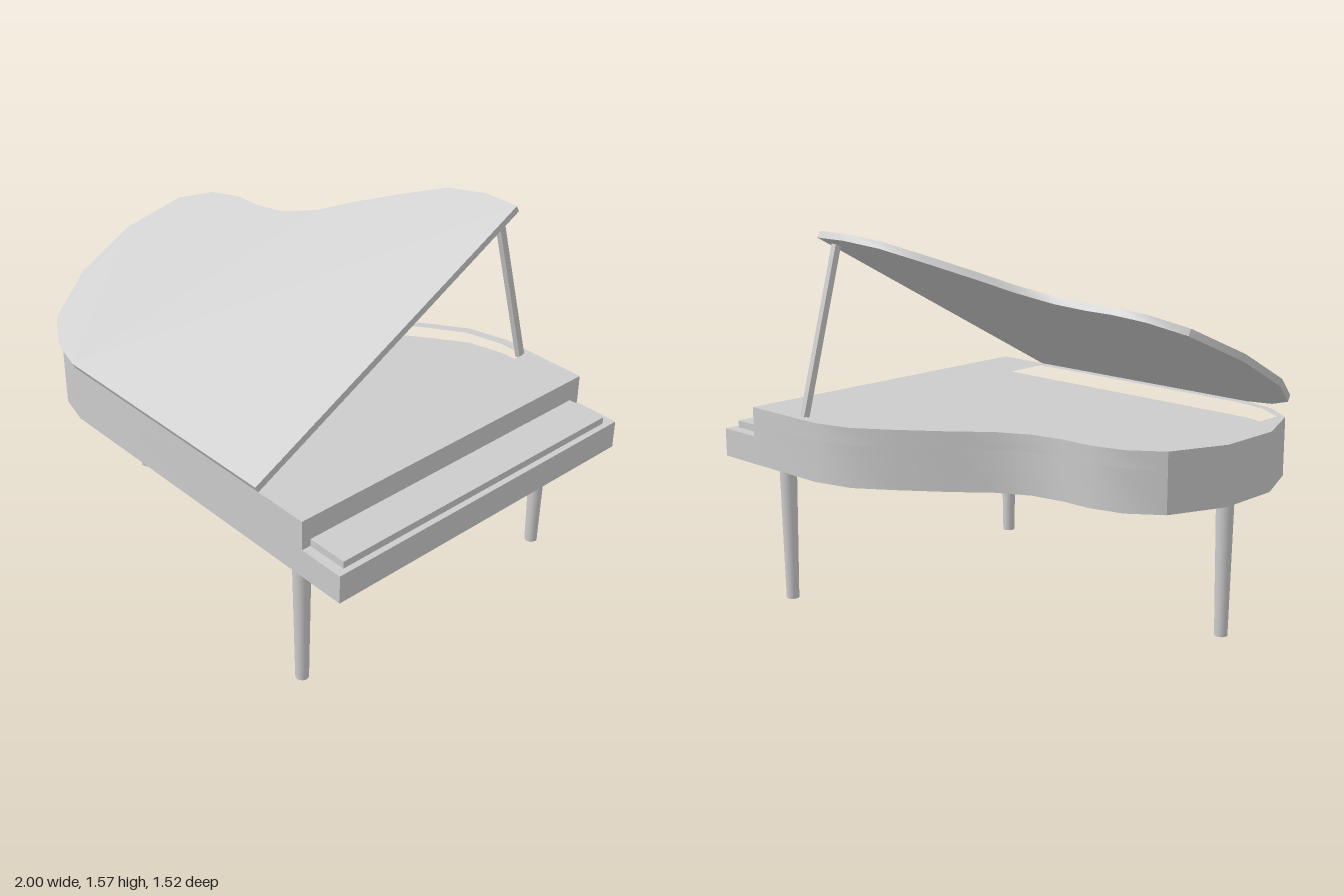
import * as THREE from 'three';
import { toCreasedNormals } from 'three/addons/utils/BufferGeometryUtils.js';

const material = new THREE.MeshStandardMaterial({ color: 0xcccccc });

// Curved side of the case as [x, z], from the spine round the tail to the bent side
const curve = [
  [-0.62, 0.745], [-0.77, 0.707], [-0.9, 0.616], [-1, 0.375], [-1, 0.092],
  [-0.9, -0.145], [-0.77, -0.24], [-0.63, -0.277], [-0.5, -0.28], [-0.36, -0.305],
  [-0.22, -0.38], [-0.1, -0.485], [0.08, -0.62], [0.23, -0.722], [0.4, -0.765],
];

// Inner edge of the rim, with a straight end at the tail
const cavity = [
  [0.53, 0.705], [-0.61, 0.705], [-0.76, 0.67], [-0.87, 0.6],
  [-0.87, -0.15], [-0.76, -0.215], [-0.63, -0.25], [-0.5, -0.253], [-0.35, -0.275],
  [-0.2, -0.35], [-0.08, -0.455], [0.09, -0.582], [0.24, -0.682], [0.4, -0.722], [0.53, -0.722],
];

const toPoints = (list) => list.map(([x, z]) => new THREE.Vector2(x, -z));

// Case outline cut off square at the given x
const outline = (xEnd) => new THREE.Shape(toPoints([[xEnd, 0.745], ...curve, [xEnd, -0.765]]));

// Lay a plan shape flat and raise it from y = 0 to the given height
function slab(shape, height) {
  const g = new THREE.ExtrudeGeometry(shape, { depth: height, bevelEnabled: false });
  g.rotateX(-Math.PI / 2);
  return toCreasedNormals(g, 0.45);
}

export function createModel() {
  const piano = new THREE.Group();
  piano.name = 'grandPiano';

  function add(name, geometry, x = 0, y = 0, z = 0) {
    const mesh = new THREE.Mesh(geometry, material);
    mesh.name = name;
    mesh.position.set(x, y, z);
    piano.add(mesh);
    return mesh;
  }

  // Case: solid lower body with a hollow rim on top
  const floorY = 0.765, topY = 0.835;
  add('case', slab(outline(0.8), floorY - 0.59), 0, 0.59, 0);
  const rim = outline(0.8);
  rim.holes.push(new THREE.Path(toPoints(cavity)));
  add('rim', slab(rim, topY - floorY), 0, floorY, 0);

  // Keyboard end
  add('keybed', new THREE.BoxGeometry(0.2, 0.12, 1.51), 0.9, 0.65, -0.01);
  add('keys', new THREE.BoxGeometry(0.175, 0.03, 1.42), 0.8875, 0.725, -0.005);

  // Lid, hinged along the spine and raised 28 degrees
  const lidGeometry = slab(outline(0.56), 0.03);
  lidGeometry.translate(0, 0, -0.745);
  const lid = add('lid', lidGeometry, 0, topY, 0.745);
  lid.rotation.x = THREE.MathUtils.degToRad(28);

  // Prop stick from the rim to the underside of the lid
  const foot = new THREE.Vector3(0.513, 0.825, -0.722);
  const head = new THREE.Vector3(0.513, 1.515, -0.53);
  const prop = add('lidProp', new THREE.BoxGeometry(0.026, foot.distanceTo(head), 0.028));
  prop.position.copy(foot).add(head).multiplyScalar(0.5);
  prop.rotation.x = Math.atan2(head.z - foot.z, head.y - foot.y);

  // Three tapered legs
  const legs = [['frontLeg', 0.7, 0.66], ['backLeg', 0.7, -0.67], ['tailLeg', -0.885, 0.243]];
  for (const [name, x, z] of legs) {
    add(name, new THREE.CylinderGeometry(0.037, 0.027, 0.59, 16), x, 0.295, z);
  }

  return piano;
}
